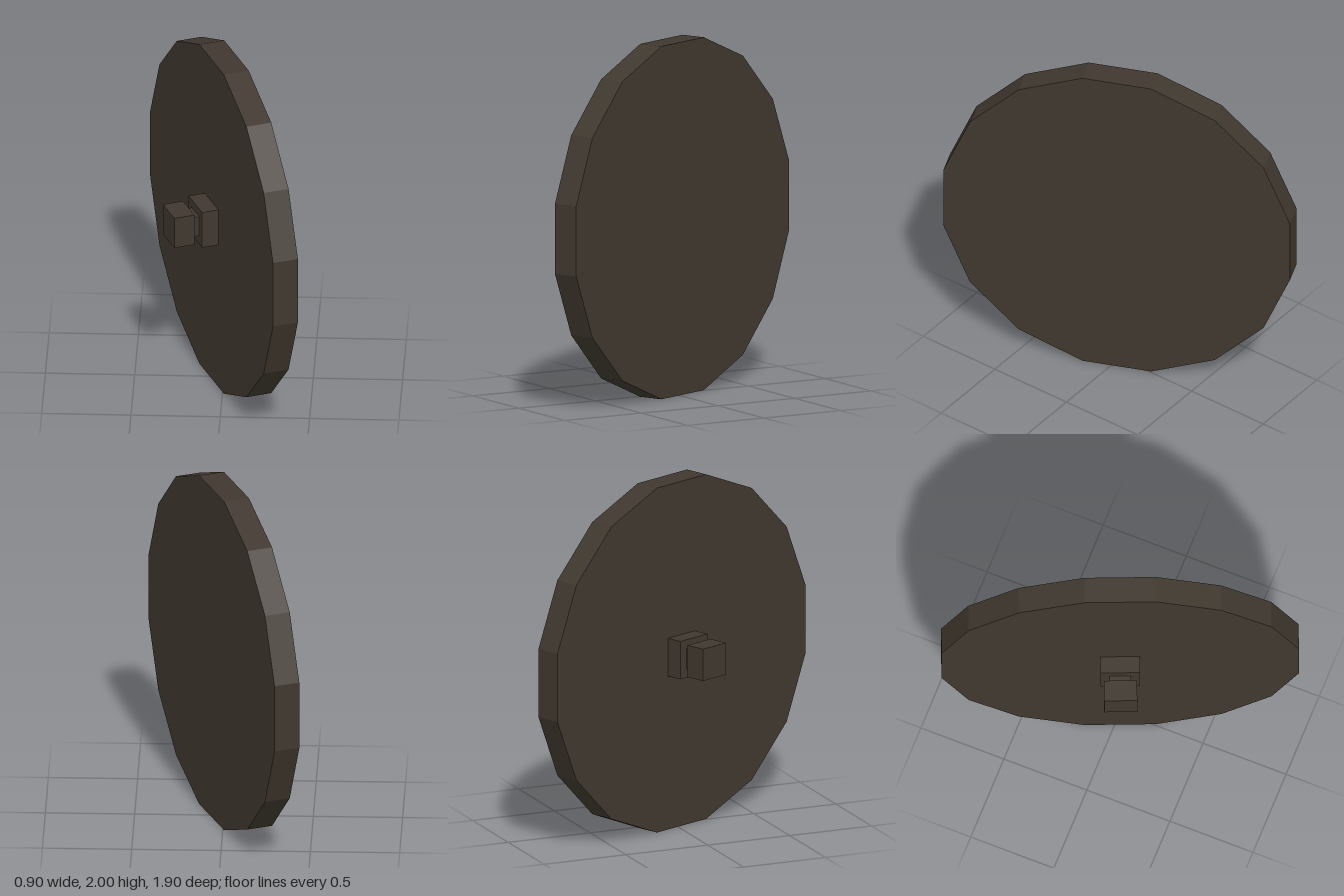
import * as THREE from 'three';

export function createModel() {
  const model = new THREE.Group();
  model.name = 'discWithKnob';
  const material = new THREE.MeshStandardMaterial({ color: 0x40382f });
  material.name = 'dark brown';
  material.flatShading = true;

  // Everything is built along the disc's axis (local x), then turned about y
  const assembly = new THREE.Group();
  assembly.name = 'assembly';
  assembly.position.y = 1;
  assembly.rotation.y = Math.PI / 8;
  model.add(assembly);

  const add = (name, geometry, x = 0) => {
    const mesh = new THREE.Mesh(geometry, material);
    mesh.name = name;
    mesh.position.x = x;
    assembly.add(mesh);
  };

  // Sixteen-sided disc with flats at the top, bottom and sides
  const sides = 16;
  const radius = 1 / Math.cos(Math.PI / sides);
  add('disc', new THREE.CylinderGeometry(radius, radius, 0.148, sides)
    .rotateY(Math.PI / sides).rotateZ(Math.PI / 2));

  // Square mount, neck and knob: [name, inner x, outer x, width]
  const blocks = [
    ['mount', -0.07, -0.17, 0.22],
    ['neck', -0.165, -0.215, 0.12],
    ['knob', -0.21, -0.33, 0.185],
  ];
  for (const [name, inner, outer, width] of blocks) {
    add(name, new THREE.BoxGeometry(inner - outer, width, width), (inner + outer) / 2);
  }
  return model;
}
